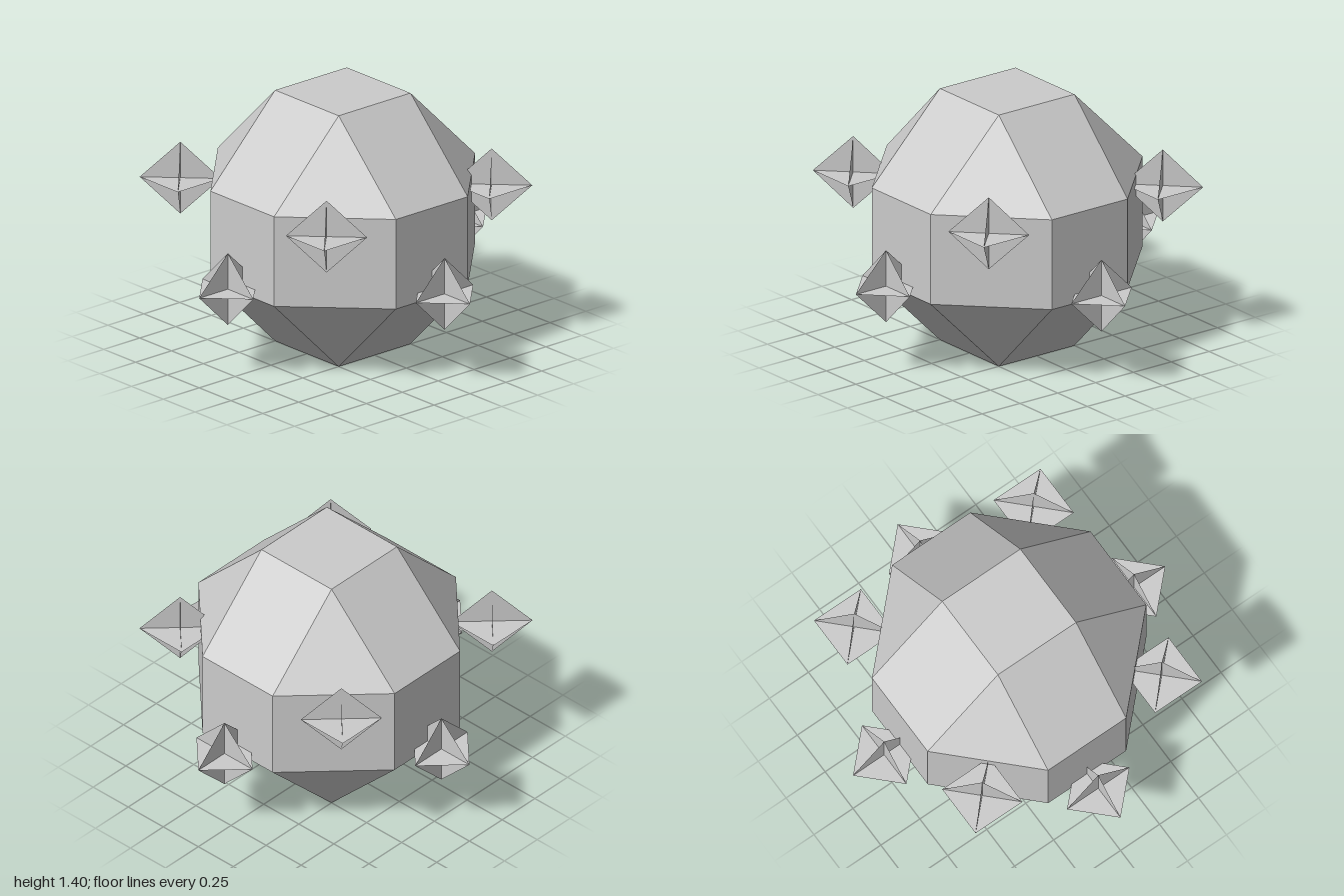
import * as THREE from 'three';
import { ConvexGeometry } from 'three/addons/geometries/ConvexGeometry.js';

const bodyMaterial = new THREE.MeshStandardMaterial({ color: 0xcccccc, flatShading: true });
const shardMaterial = new THREE.MeshStandardMaterial({
  color: 0xcccccc, flatShading: true, side: THREE.DoubleSide,
});

// Flat diamond with half-width w and half-height h
function diamond(w, h) {
  const shape = new THREE.Shape([
    new THREE.Vector2(w, 0), new THREE.Vector2(0, h),
    new THREE.Vector2(-w, 0), new THREE.Vector2(0, -h),
  ]);
  return new THREE.ShapeGeometry(shape);
}

// Three flat diamonds crossing at right angles
function createShard(name, radius, height, position, turn = 0) {
  const shard = new THREE.Group();
  shard.name = name;
  const blades = {
    frontBlade: diamond(radius, height),
    sideBlade: diamond(radius, height).rotateY(Math.PI / 2),
    levelBlade: diamond(radius, radius).rotateX(-Math.PI / 2),
  };
  for (const [bladeName, geometry] of Object.entries(blades)) {
    const blade = new THREE.Mesh(geometry, shardMaterial);
    blade.name = bladeName;
    shard.add(blade);
  }
  shard.position.set(...position);
  shard.rotation.y = turn;
  return shard;
}

// Faceted body: every arrangement of one long and two short coordinates
function createBody() {
  const near = 0.25, far = 0.7, points = [];
  for (const sx of [-1, 1]) for (const sy of [-1, 1]) for (const sz of [-1, 1]) {
    for (let axis = 0; axis < 3; axis++) {
      const p = [near, near, near];
      p[axis] = far;
      points.push(new THREE.Vector3(sx * p[0], sy * p[1], sz * p[2]));
    }
  }
  const body = new THREE.Mesh(new ConvexGeometry(points), bodyMaterial);
  body.name = 'body';
  body.position.y = far;
  return body;
}

export function createModel() {
  const model = new THREE.Group();
  model.name = 'facetedBallWithShards';
  model.add(createBody());

  // Lower shards on the four sides
  for (const s of [-1, 1]) {
    model.add(createShard(s > 0 ? 'leftShard' : 'rightShard', 0.2, 0.2, [s * 0.8, 0.5, 0]));
    model.add(createShard(s > 0 ? 'frontShard' : 'backShard', 0.2, 0.2, [0, 0.5, s * 0.8]));
  }

  // Upper shards at the corners, turned to face the diagonals
  for (const x of [-0.6, 0.55]) for (const z of [-0.55, 0.6]) {
    const name = (z > 0 ? 'front' : 'back') + (x > 0 ? 'Left' : 'Right') + 'CornerShard';
    model.add(createShard(name, 0.15 * Math.SQRT2, 0.2, [x, 0.9, z], Math.PI / 4));
  }
  return model;
}
